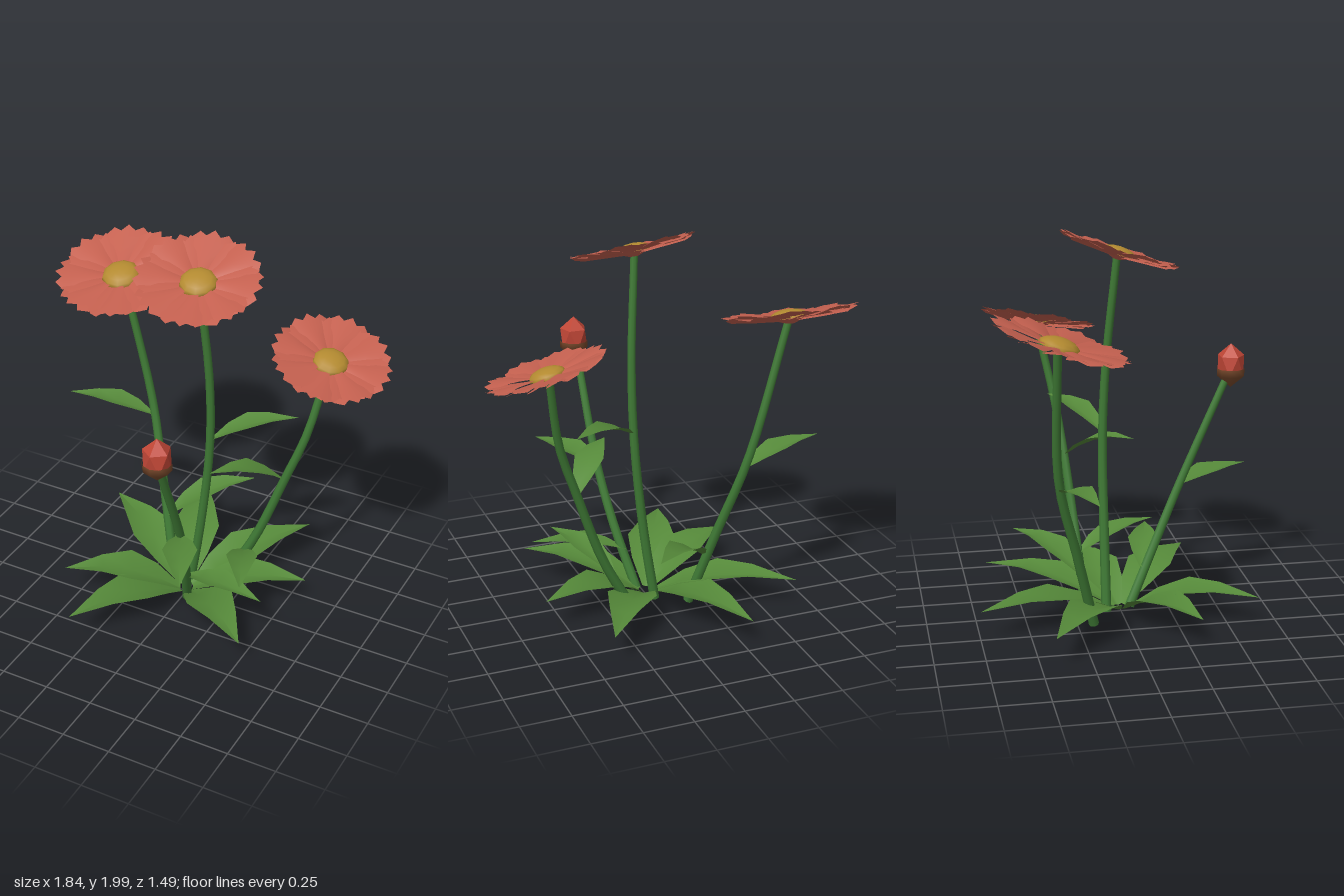
import * as THREE from 'three';

const V = (a) => new THREE.Vector3(...a);
const mat = (color, extra = {}) => new THREE.MeshStandardMaterial({ color, ...extra });

// Grid surface: fn(row, col) returns [x, y, z]
function surface(rows, cols, fn) {
  const pos = [], idx = [];
  for (let i = 0; i < rows; i++) {
    for (let j = 0; j < cols; j++) {
      pos.push(...fn(i, j));
      if (i < rows - 1 && j < cols - 1) {
        const a = i * cols + j, b = a + cols;
        idx.push(a, b, a + 1, a + 1, b, b + 1);
      }
    }
  }
  const g = new THREE.BufferGeometry();
  g.setAttribute('position', new THREE.Float32BufferAttribute(pos, 3));
  g.setIndex(idx);
  g.computeVertexNormals();
  return g;
}

// Pointed leaf with its edges folded up, arching from base to tip
function leafGeometry(base, tip, width, lift, fold) {
  const a = V(base), b = V(tip);
  const mid = a.clone().lerp(b, 0.45);
  mid.y = b.y + lift;
  const curve = new THREE.QuadraticBezierCurve3(a, mid, b);
  const side = new THREE.Vector3(b.z - a.z, 0, a.x - b.x).normalize();
  const ts = [0, 0.22, 0.45, 0.7, 1], ws = [0.15, 0.7, 1, 0.6, 0];
  return surface(5, 3, (i, j) => {
    const w = ws[i] * width / 2;
    const p = curve.getPoint(ts[i]).addScaledVector(side, (j - 1) * w);
    if (j !== 1) p.y += w * fold;
    return p.toArray();
  });
}

// Petal of a unit bloom, pointing along +z with a toothed end
function petalGeometry(widths, y0, length) {
  const rs = [0.15, 0.4, 0.6, 0.78, 0.9];
  const teeth = [0.88, 1.0, 0.92, 1.04, 0.92, 1.0, 0.88];
  return surface(6, 7, (i, j) => {
    const u = (j - 3) / 3;
    const r = length * (i < 5 ? rs[i] - (i === 4 ? 0.06 * u * u : 0) : teeth[j]);
    const w = widths[i];
    return [u * w, y0 + 0.13 * r - 0.13 * w * u * u + 0.015 * u, r];
  });
}

export function createModel() {
  const model = new THREE.Group();
  model.name = 'floweringPlant';

  const stemMat = mat(0x3f7a35, { side: THREE.DoubleSide });
  const leafMat = mat(0x568a3a, { side: THREE.DoubleSide });
  const petalMat = mat(0xc4604f, { side: THREE.DoubleSide });
  const discMat = mat(0xb38a30);
  const budMat = mat(0xc04636, { flatShading: true });
  const sepalMat = mat(0x7a4a2c);

  const add = (parent, name, geometry, material) => {
    const m = new THREE.Mesh(geometry, material);
    m.name = name;
    parent.add(m);
    return m;
  };

  // Stems, tapering slightly toward the top
  function stem(name, points) {
    const curve = new THREE.CatmullRomCurve3(points.map(V));
    const seg = 14, sides = 8;
    const g = new THREE.TubeGeometry(curve, seg, 0.026, sides, false);
    const p = g.attributes.position, v = new THREE.Vector3();
    for (let i = 0; i <= seg; i++) {
      const c = curve.getPointAt(i / seg);
      for (let j = 0; j <= sides; j++) {
        const k = i * (sides + 1) + j;
        v.fromBufferAttribute(p, k).sub(c).multiplyScalar(1 - 0.25 * i / seg).add(c);
        p.setXYZ(k, v.x, v.y, v.z);
      }
    }
    add(model, name, g, stemMat);
  }
  stem('tallStem', [[-0.02, 0.01, -0.08], [0.04, 0.4, -0.08], [0.09, 0.9, -0.08],
    [0.095, 1.3, -0.06], [0.06, 1.84, -0.01]]);
  stem('rightStem', [[-0.17, 0.01, -0.17], [-0.28, 0.42, -0.27], [-0.4, 0.85, -0.375], [-0.58, 1.54, -0.4]]);
  stem('leftStem', [[0.13, 0.01, -0.17], [0.3, 0.33, -0.19], [0.447, 0.73, -0.225],
    [0.54, 1.0, -0.26], [0.61, 1.39, -0.34]]);
  stem('budStem', [[0.03, 0.01, 0.05], [0.1, 0.33, 0.2], [0.14, 0.62, 0.33], [0.16, 1.17, 0.575]]);

  // Blooms: toothed petals with slim gaps, backed by a shorter layer, around a domed disc
  const upperPetal = petalGeometry([0.045, 0.115, 0.195, 0.33, 0.37, 0.35], 0.0, 1);
  const lowerPetal = petalGeometry([0.06, 0.16, 0.25, 0.32, 0.34, 0.3], -0.025, 0.93);
  const disc = new THREE.SphereGeometry(0.31, 10, 4, 0, Math.PI * 2, 0, Math.PI / 2);
  disc.scale(1, 0.45, 1);
  const calyx = new THREE.CylinderGeometry(0.24, 0.06, 0.07, 10);
  function bloom(name, centre, normal, radius, spin) {
    const g = new THREE.Group();
    g.name = name;
    for (let i = 0; i < 8; i++) {
      const a = spin + i * Math.PI / 4;
      add(g, 'upperPetal', upperPetal, petalMat).rotation.y = a;
      add(g, 'lowerPetal', lowerPetal, petalMat).rotation.y = a + Math.PI / 8;
    }
    add(g, 'disc', disc, discMat).position.y = 0.01;
    add(g, 'calyx', calyx, petalMat).position.y = -0.035;
    g.position.set(...centre);
    g.quaternion.setFromUnitVectors(new THREE.Vector3(0, 1, 0), V(normal).normalize());
    g.scale.setScalar(radius);
    model.add(g);
  }
  bloom('tallBloom', [0.06, 1.845, -0.005], [0.1, 1, 0.34], 0.303, 0.2);
  bloom('rightBloom', [-0.59, 1.55, -0.395], [0.0, 1, 0.32], 0.328, 0.35);
  bloom('leftBloom', [0.615, 1.395, -0.335], [0.26, 1, 0.2], 0.294, 0.1);

  // Closed bud: faceted body with its lower half wrapped in sepals
  const bud = new THREE.Group();
  bud.name = 'bud';
  const body = new THREE.IcosahedronGeometry(1, 0);
  body.rotateX(-1.0172);
  body.scale(0.078, 0.113, 0.078);
  add(bud, 'budPetals', body, budMat);
  const sepalProfile = [[0, -0.117], [0.072, -0.053], [0.073, -0.015]];
  add(bud, 'budSepals', new THREE.LatheGeometry(sepalProfile.map((p) => new THREE.Vector2(...p)), 10), sepalMat);
  bud.position.set(0.165, 1.238, 0.6);
  model.add(bud);

  // Rosette of broad leaves at the ground: [tip x, tip z]
  const rosette = [[-0.27, -0.75], [0.41, -0.655], [0.6, -0.19], [0.52, 0.43],
    [-0.33, 0.645], [-0.56, 0.305], [-0.66, -0.43]];
  for (const [x, z] of rosette) {
    add(model, 'basalLeaf', leafGeometry([x * 0.05, 0.02, z * 0.05], [x, 0.155, z], 0.25, 0.05, 0.3), leafMat);
  }

  // Leaves along the stems: [base, tip, width]
  const stemLeaves = [
    [[0.1, 0.94, -0.08], [0.47, 1.05, -0.31], 0.15],
    [[-0.39, 0.79, -0.36], [-0.84, 0.865, -0.25], 0.15],
    [[0.44, 0.72, -0.22], [0.18, 0.865, 0.1], 0.15],
    [[0.14, 0.62, 0.33], [0.35, 0.655, 0.735], 0.17],
    [[-0.23, 0.28, -0.22], [0.13, 0.44, -0.54], 0.18],
    [[0.24, 0.24, -0.18], [0.43, 0.345, 0.25], 0.16],
    [[0.06, 0.21, 0.12], [0.54, 0.285, 0.23], 0.16],
  ];
  for (const [base, tip, width] of stemLeaves) {
    add(model, 'stemLeaf', leafGeometry(base, tip, width, 0.01, 0.35), leafMat);
  }
  return model;
}
